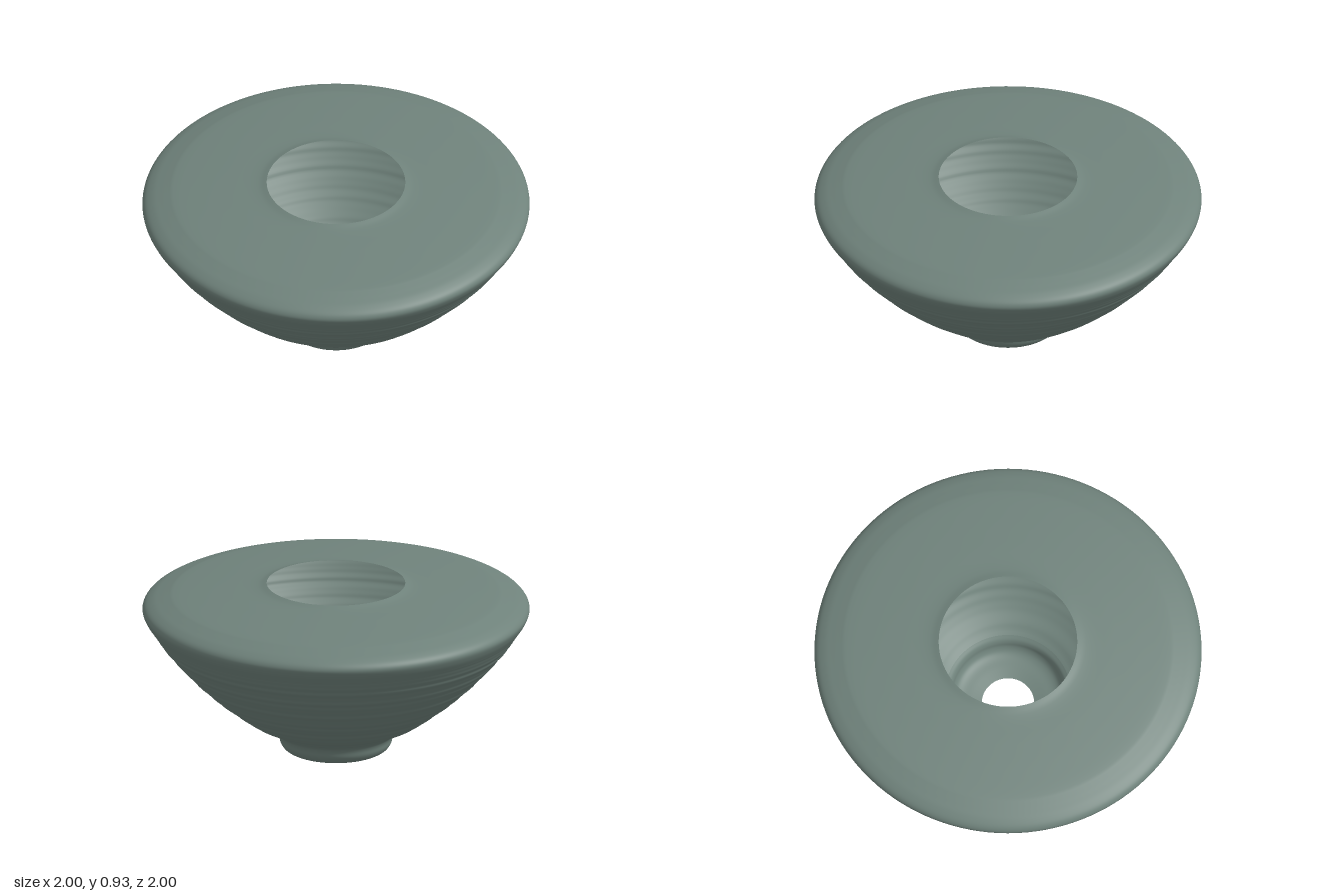
import * as THREE from 'three';

const SEGMENTS = 128;

// Smooth curve through [radius, height] points
function smoothProfile(points, samples) {
  const curve = new THREE.CatmullRomCurve3(
    points.map(([r, y]) => new THREE.Vector3(r, y, 0)), false, 'centripetal');
  return curve.getPoints(samples).map(p => new THREE.Vector2(p.x, p.y));
}

// Faint uneven rings left by turning the clay
function addThrowingRings(profile) {
  const last = profile.length - 1;
  return profile.map((p, i) => {
    const fade = Math.min(1, i / 8, (last - i) / 8);
    const ripple = Math.sin(p.y * 105) + 0.7 * Math.sin(p.y * 173 + 1.3) + 0.5 * Math.sin(p.y * 61 + 0.4);
    return new THREE.Vector2(p.x + 0.0016 * ripple * fade, p.y);
  });
}

export function createModel() {
  const model = new THREE.Group();
  model.name = 'bowl';
  const glaze = new THREE.MeshStandardMaterial({ color: 0x6f827b, side: THREE.DoubleSide });
  glaze.name = 'grey green glaze';

  function turn(name, profile) {
    const mesh = new THREE.Mesh(new THREE.LatheGeometry(profile, SEGMENTS), glaze);
    mesh.name = name;
    model.add(mesh);
  }

  // Rounded foot, open underneath
  turn('foot', smoothProfile([
    [0.135, 0], [0.19, 0.012], [0.245, 0.024], [0.272, 0.04],
    [0.288, 0.065], [0.295, 0.095], [0.305, 0.115], [0.325, 0.132]
  ], 32));

  // Flared wall with throwing rings
  turn('wall', addThrowingRings(smoothProfile([
    [0.325, 0.132], [0.375, 0.158], [0.455, 0.2], [0.56, 0.278], [0.66, 0.36],
    [0.8, 0.5], [0.9, 0.62], [0.962, 0.71]
  ], 150)));

  // Rounded shoulder above the wall seam
  turn('shoulder', smoothProfile([
    [0.962, 0.71], [0.988, 0.75], [1, 0.785], [0.988, 0.81],
    [0.95, 0.834], [0.905, 0.85], [0.87, 0.861]
  ], 32));

  // Shallow domed top with a wide opening
  turn('top', smoothProfile([
    [0.87, 0.861], [0.845, 0.868], [0.7, 0.886], [0.55, 0.9], [0.4, 0.913], [0.358, 0.925]
  ], 24));

  return model;
}
